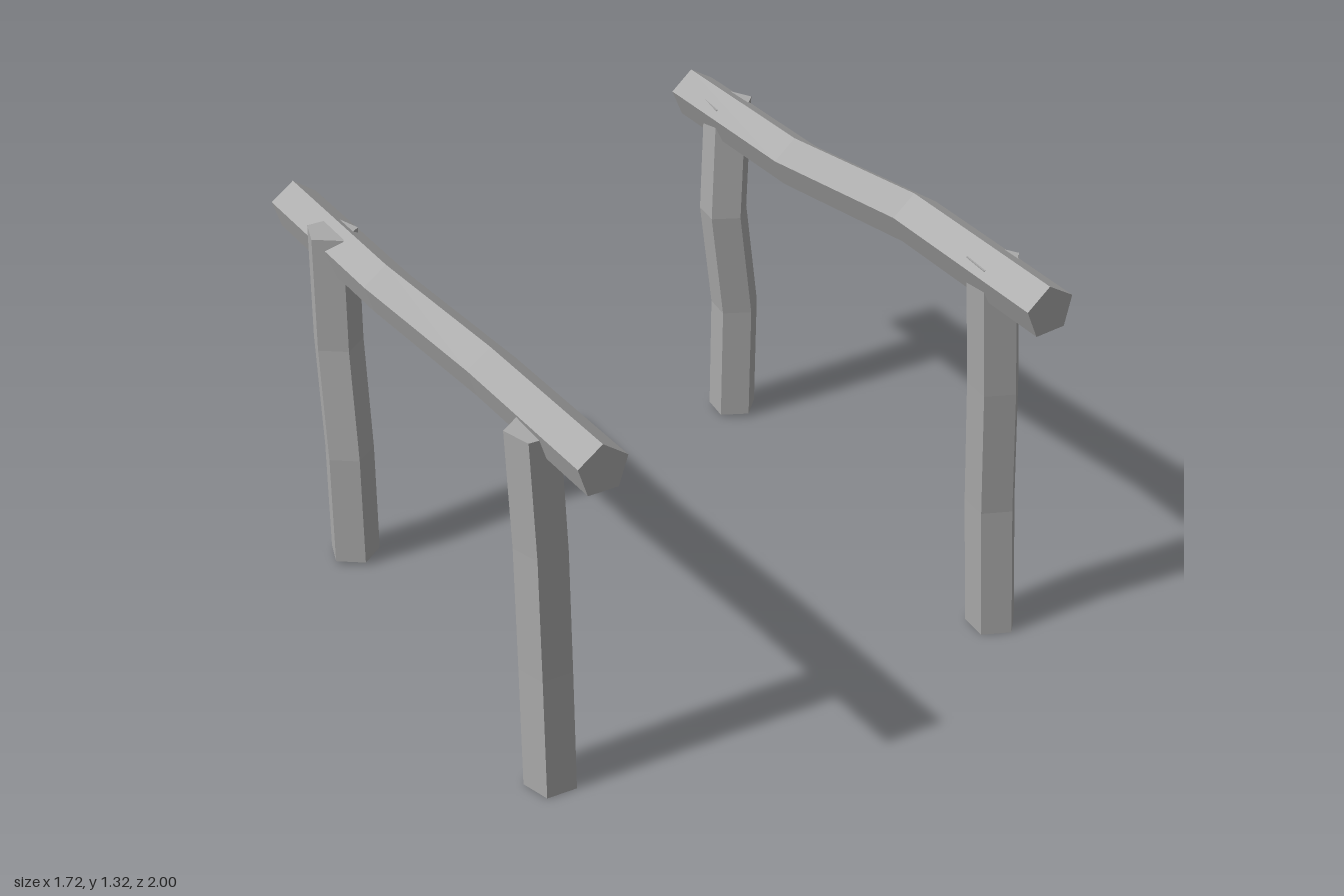
import * as THREE from 'three';

const SIDES = 5;

// Five-sided log through a list of centres. Beams run back to front, posts run top to bottom.
function makeLog(name, material, centres, radius, turnDegrees, upright) {
  const positions = [];
  const index = [];
  const turn = THREE.MathUtils.degToRad(turnDegrees);
  for (const [x, y, z] of centres) {
    for (let k = 0; k < SIDES; k++) {
      const a = turn + (k / SIDES) * Math.PI * 2;
      const c = Math.cos(a) * radius;
      const s = Math.sin(a) * radius;
      if (upright) positions.push(x + c, y, z + s);
      else positions.push(x + c, y + s, z);
    }
  }
  // Side faces
  for (let i = 0; i < centres.length - 1; i++) {
    for (let k = 0; k < SIDES; k++) {
      const a = i * SIDES + k;
      const b = i * SIDES + ((k + 1) % SIDES);
      index.push(a, b, b + SIDES, a, b + SIDES, a + SIDES);
    }
  }
  // End caps
  const last = (centres.length - 1) * SIDES;
  for (let k = 1; k < SIDES - 1; k++) {
    index.push(0, k + 1, k);
    index.push(last, last + k, last + k + 1);
  }
  const indexed = new THREE.BufferGeometry();
  indexed.setAttribute('position', new THREE.Float32BufferAttribute(positions, 3));
  indexed.setIndex(index);
  const geometry = indexed.toNonIndexed();
  geometry.computeVertexNormals();
  const mesh = new THREE.Mesh(geometry, material);
  mesh.name = name;
  return mesh;
}

export function createModel() {
  const group = new THREE.Group();
  group.name = 'logRails';
  const wood = new THREE.MeshStandardMaterial({ color: 0xaaaaaa, flatShading: true });
  wood.name = 'greyWood';

  // Long sagging beams
  group.add(makeLog('leftBeam', wood, [
    [0.75, 1.09, -1], [0.73, 1.115, -0.36], [0.707, 1.22, 0.3], [0.677, 1.24, 0.98],
  ], 0.08, 95, false));
  group.add(makeLog('rightBeam', wood, [
    [-0.688, 1.067, -0.99], [-0.69, 1.07, -0.36], [-0.702, 1.125, 0.3], [-0.757, 1.205, 1],
  ], 0.078, 90, false));

  // Crooked posts
  const posts = [
    ['leftFrontPost', 5, [[0.695, 1.27, 0.7], [0.725, 0.85, 0.7], [0.755, 0.43, 0.685], [0.77, 0, 0.705]]],
    ['rightFrontPost', 56, [[-0.785, 1.175, 0.685], [-0.767, 0.8, 0.685], [-0.76, 0.4, 0.685], [-0.757, 0, 0.69]]],
    ['leftBackPost', 8, [[0.755, 1.14, -0.79], [0.733, 0.76, -0.775], [0.777, 0.4, -0.768], [0.772, 0.01, -0.765]]],
    ['rightBackPost', 18, [[-0.718, 1.13, -0.665], [-0.718, 0.75, -0.67], [-0.72, 0.38, -0.635], [-0.722, 0.01, -0.63]]],
  ];
  for (const [name, turn, centres] of posts) {
    group.add(makeLog(name, wood, centres, 0.08, turn, true));
  }
  return group;
}
